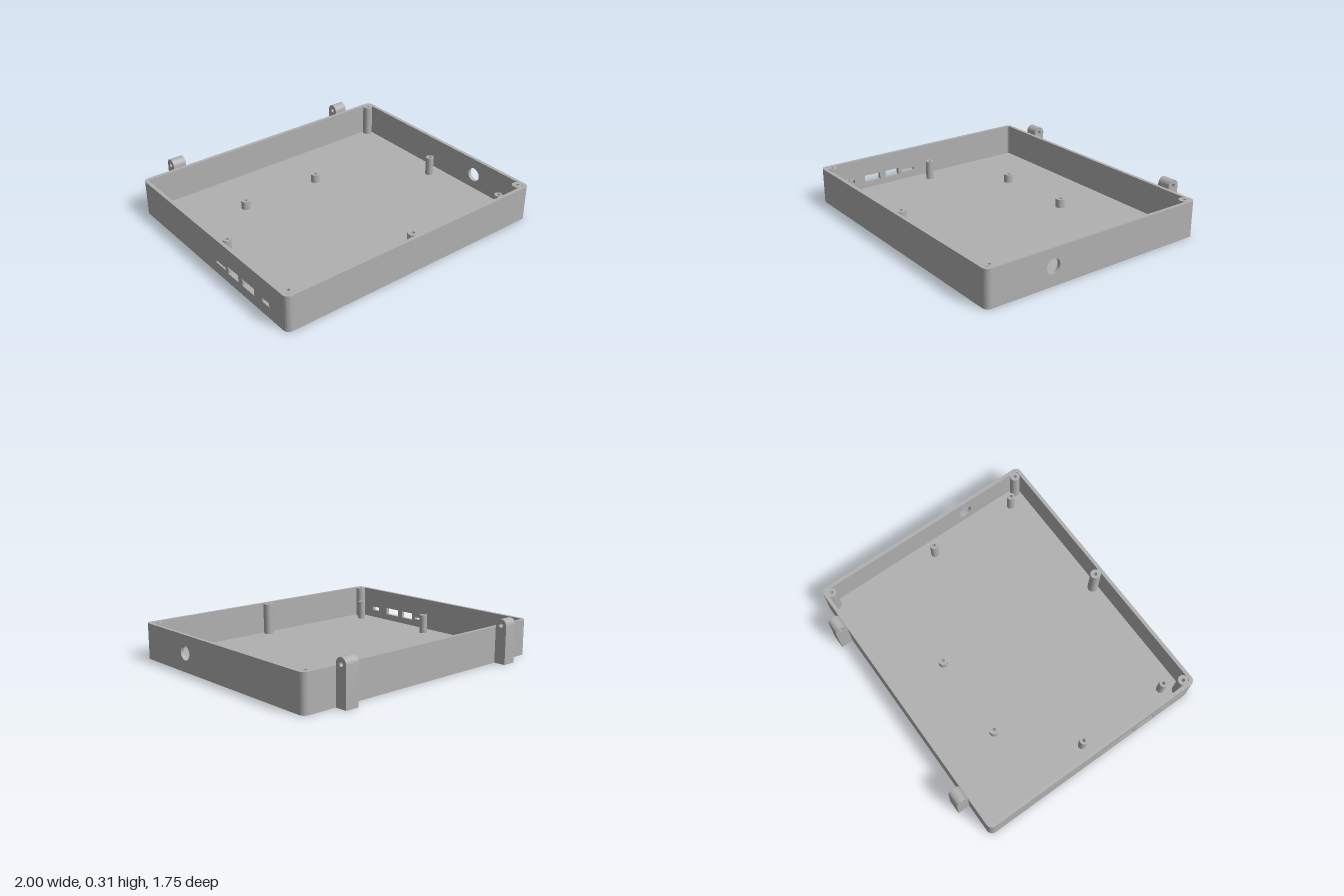
import * as THREE from 'three';
import { toCreasedNormals } from 'three/addons/utils/BufferGeometryUtils.js';

const FRONT = 0.875, BACK = -0.79, TOP = 0.25, FLOOR = 0.025, WALL = 0.025, R = 0.04;

export function createModel() {
  const group = new THREE.Group();
  const grey = new THREE.MeshStandardMaterial({ color: 0xb0b0b0 });
  grey.name = 'grey plastic';

  const add = (name, geometry) => {
    const mesh = new THREE.Mesh(geometry, grey);
    mesh.name = name;
    group.add(mesh);
    return mesh;
  };
  const extrude = (shape, depth) =>
    new THREE.ExtrudeGeometry(shape, { depth, bevelEnabled: false, curveSegments: 24 });
  // plan outline (x, -z) raised from y0 to y1
  const raise = (shape, y0, y1) =>
    toCreasedNormals(extrude(shape, y1 - y0).rotateX(-Math.PI / 2).translate(0, y0, 0), 0.6);
  // side outline (z, y) spanning x0 to x1
  const across = (shape, x0, x1) =>
    toCreasedNormals(extrude(shape, x1 - x0).rotateY(-Math.PI / 2).translate(x1, 0, 0), 0.6);
  const box = (name, x0, x1, y0, y1, z0, z1) =>
    add(name, new THREE.BoxGeometry(x1 - x0, y1 - y0, z1 - z0)
      .translate((x0 + x1) / 2, (y0 + y1) / 2, (z0 + z1) / 2));
  const rect = (path, u0, u1, v0, v1) =>
    path.moveTo(u0, v0).lineTo(u1, v0).lineTo(u1, v1).lineTo(u0, v1).lineTo(u0, v0);
  const circle = (u, v, r) => new THREE.Path().absarc(u, v, r, 0, Math.PI * 2, true);

  // floor plate with rounded corners
  const plate = new THREE.Shape();
  plate.absarc(1 - R, -BACK - R, R, 0, Math.PI / 2);
  plate.absarc(-1 + R, -BACK - R, R, Math.PI / 2, Math.PI);
  plate.absarc(-1 + R, -FRONT + R, R, Math.PI, Math.PI * 1.5);
  plate.absarc(1 - R, -FRONT + R, R, Math.PI * 1.5, Math.PI * 2);
  plate.closePath();
  add('floor', raise(plate, 0, FLOOR));

  // front and back walls
  box('frontWall', -1 + R, 1 - R, FLOOR, TOP, FRONT - WALL, FRONT);
  box('backWall', -1 + R, 1 - R, FLOOR, TOP, BACK, BACK + WALL);

  // side walls: round opening on one, connector slots on the other
  const sideWall = (holes) => {
    const shape = new THREE.Shape();
    rect(shape, BACK + R, FRONT - R, FLOOR, TOP);
    shape.holes.push(...holes);
    return shape;
  };
  add('leftWall', across(sideWall([circle(0.395, 0.13, 0.05)]), 1 - WALL, 1));
  const slots = [
    [0.63, 0.70, 0.08, 0.108],
    [0.42, 0.545, 0.07, 0.12],
    [0.265, 0.375, 0.07, 0.12],
    [0.13, 0.235, 0.08, 0.097],
  ].map((s) => rect(new THREE.Path(), ...s));
  add('rightWall', across(sideWall(slots), -1, -1 + WALL));

  // rounded wall corners
  [[1, -BACK, 0], [-1, -BACK, 1], [-1, -FRONT, 2], [1, -FRONT, 3]].forEach(([x, v, q]) => {
    const cx = x - Math.sign(x) * R, cv = v - Math.sign(v) * R, a = q * Math.PI / 2;
    const shape = new THREE.Shape();
    shape.absarc(cx, cv, R, a, a + Math.PI / 2, false);
    shape.absarc(cx, cv, R - WALL, a + Math.PI / 2, a, true);
    shape.closePath();
    add('wallCorner', raise(shape, FLOOR, TOP));
  });

  // hollow posts: x, z, radius, top
  const post = (name, x, z, r, top) => {
    const shape = new THREE.Shape().absarc(x, -z, r, 0, Math.PI * 2, false);
    shape.holes.push(circle(x, -z, 0.012));
    add(name, raise(shape, FLOOR, top));
  };
  for (const [x, z] of [[0.945, -0.74], [-0.945, 0.815], [0.945, 0.815], [0, 0.815]]) {
    post('lidScrewPost', x, z, 0.035, TOP);
  }
  box('postRib', -0.02, 0.02, FLOOR, TOP, 0.835, 0.855);
  for (const x of [-0.872, 0.872]) {
    for (const z of [0.053, 0.727]) post('tallStandoff', x, z, 0.028, 0.16);
  }
  for (const x of [-0.455, 0.145]) post('shortStandoff', x, -0.373, 0.031, 0.085);

  // hinge lugs on the back wall
  const hr = 0.0425, hz = BACK - hr, hy = 0.2625;
  const lug = new THREE.Shape();
  lug.moveTo(BACK - 2 * hr, 0).lineTo(BACK, 0).lineTo(BACK, hy);
  lug.absarc(hz, hy, hr, 0, Math.PI, false);
  lug.closePath();
  lug.holes.push(circle(hz, hy, 0.015));
  for (const x of [-0.712, 0.712]) add('hingeLug', across(lug, x - 0.0475, x + 0.0475));

  return group;
}
